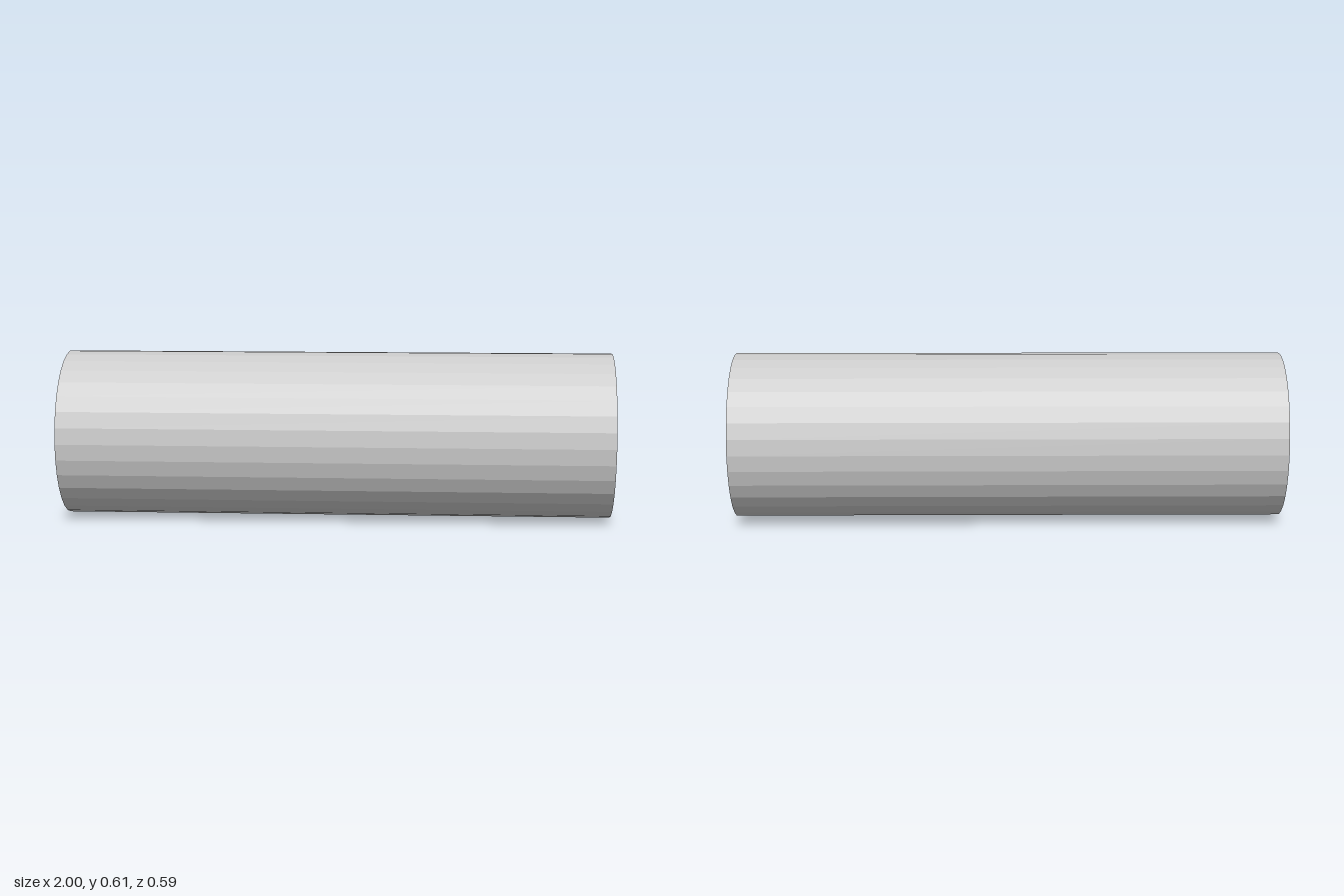
import * as THREE from 'three';

const SEGMENTS = 32;
const CENTER_Y = 0.304;
const FLOOR = -0.161; // flat floor height, relative to the axis

// Faceted ellipse, starting at the lowest point
function ring(rx, ry) {
  return Array.from({ length: SEGMENTS }, (_, i) => {
    const a = (i / SEGMENTS) * Math.PI * 2 - Math.PI / 2;
    return new THREE.Vector2(Math.cos(a) * rx, Math.sin(a) * ry);
  });
}

// Keep the part of an outline above a height, cutting the crossing edges
function clipAbove(points, y) {
  const out = [];
  points.forEach((p, i) => {
    const q = points[(i + 1) % points.length];
    if (p.y >= y) out.push(p);
    if ((p.y >= y) !== (q.y >= y)) out.push(p.clone().lerp(q, (y - p.y) / (q.y - p.y)));
  });
  return out;
}

export function createModel() {
  const group = new THREE.Group();
  group.name = 'tunnel';

  // Tube section: oval outside, bore with a flat floor
  const section = new THREE.Shape(ring(0.29, 0.302));
  section.holes.push(new THREE.Path(clipAbove(ring(0.246, 0.255), FLOOR)));

  const geometry = new THREE.ExtrudeGeometry(section, { depth: 2, bevelEnabled: false });
  geometry.translate(0, 0, -1);
  geometry.rotateY(Math.PI / 2);

  // The axis leans very slightly along its length
  const lean = new THREE.Matrix4().set(
    1, 0, 0, 0,
    0.002, 1, 0, CENTER_Y,
    -0.007, 0, 1, 0,
    0, 0, 0, 1
  );
  geometry.applyMatrix4(lean);

  const tube = new THREE.Mesh(
    geometry,
    new THREE.MeshStandardMaterial({ color: 0xcccccc, flatShading: true })
  );
  tube.name = 'tubeWithFloor';
  group.add(tube);
  return group;
}
